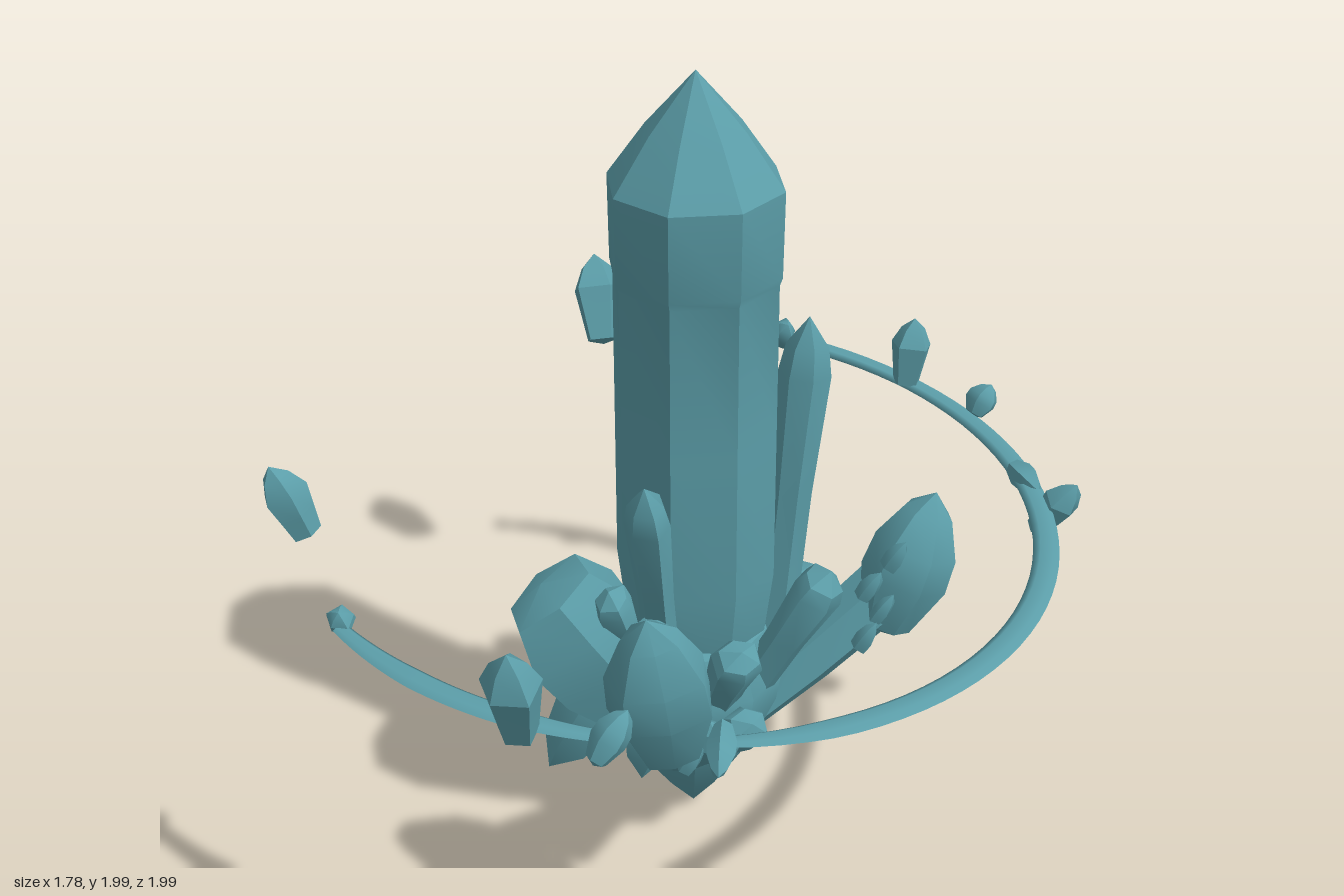
import * as THREE from 'three';
import { toCreasedNormals } from 'three/addons/utils/BufferGeometryUtils.js';

const UP = new THREE.Vector3(0, 1, 0);

// Profiles as [radius, height] fractions, from the base to the tip
const COLUMN = [[0, 0], [0.75, 0.04], [0.8, 0.5], [1, 0.84], [0.8, 0.92], [0, 1]];
const HEAD = [[0, 0], [0.6, 0.08], [1, 0.42], [0.95, 0.64], [0.55, 0.87], [0, 1]];
const SHARD = [[0, 0], [0.65, 0.05], [0.8, 0.3], [1, 0.62], [0.6, 0.85], [0, 1]];
const STEM = [[0, 0], [0.7, 0.03], [1, 0.5], [1.1, 0.97], [0, 1]];
const SPIKE = [[0, 0], [0.9, 0.05], [1, 0.4], [0.7, 0.75], [0, 1]];
const BLUNT = [[0, 0], [0.35, 0.03], [0.95, 0.55], [1, 0.76], [0.72, 0.95], [0, 1]];

// Faceted solid of revolution with slightly uneven sides
function facets(profile, sides, radius, height, seed, uneven = 0.1) {
  const points = profile.map(([r, h]) => new THREE.Vector2(r * radius, h * height));
  const geometry = new THREE.LatheGeometry(points, sides);
  const p = geometry.attributes.position;
  for (let i = 0; i < p.count; i++) {
    const a = Math.atan2(p.getX(i), p.getZ(i));
    const k = 1 + uneven * Math.sin(2 * a + seed) + uneven * 0.5 * Math.sin(3 * a + seed * 2.3);
    p.setX(i, p.getX(i) * k);
    p.setZ(i, p.getZ(i) * k);
  }
  return toCreasedNormals(geometry, 0.5);
}

export function createModel() {
  const group = new THREE.Group();
  const teal = new THREE.MeshStandardMaterial({ color: 0x5b9da8 });
  teal.name = 'teal crystal';
  let seed = 0;

  function add(name, geometry) {
    const mesh = new THREE.Mesh(geometry, teal);
    mesh.name = name;
    group.add(mesh);
    return mesh;
  }

  // Crystal running from a base point to a tip point
  function crystal(name, base, tip, radius, profile = COLUMN, sides = 6) {
    const from = new THREE.Vector3(...base);
    const axis = new THREE.Vector3(...tip).sub(from);
    seed += 1.7;
    const mesh = add(name, facets(profile, sides, radius, axis.length(), seed));
    mesh.position.copy(from);
    mesh.quaternion.setFromUnitVectors(UP, axis.normalize());
  }

  // Main pillar: shaft, slightly thicker crown, pointed cap; flats face the axes
  const pillar = [[0.1, 0.3], [0.175, 0.5], [0.203, 0.72], [0.203, 1.1], [0.203, 1.49], [0.21, 1.51], [0.213, 1.72], [0.12, 1.85], [0, 1.985]];
  const shaft = add('mainPillar', facets(pillar, 8, 1, 1, 0.6, 0.015));
  shaft.position.set(0.013, 0, -0.013);
  shaft.rotation.y = Math.PI / 8;

  // Pointed root that all crystals grow from
  const root = [[0, 0], [0.085, 0.1], [0.165, 0.22], [0.22, 0.34], [0.235, 0.43], [0.19, 0.55], [0, 0.62]];
  add('root', facets(root, 9, 1, 1, 2, 0.07)).position.set(0.02, 0, 0);

  // Two long-stemmed crystals on the +x side
  crystal('frontStem', [0.05, 0.19, 0.06], [0.3, 0.65, 0.47], 0.075, STEM);
  crystal('frontStemHead', [0.29, 0.49, 0.42], [0.31, 0.94, 0.53], 0.118, HEAD, 7);
  crystal('backStem', [0.05, 0.19, -0.05], [0.36, 0.62, -0.42], 0.075, STEM);
  crystal('backStemHead', [0.34, 0.47, -0.36], [0.41, 0.85, -0.48], 0.122, HEAD, 7);

  // Two broad blunt crystals on the -x side
  crystal('frontBluntCrystal', [0, 0.2, 0.03], [-0.235, 0.7, 0.28], 0.165, BLUNT, 6);
  crystal('backBluntCrystal', [0, 0.16, -0.03], [-0.15, 0.58, -0.34], 0.155, BLUNT, 7);
  crystal('sideLump', [-0.05, 0.3, 0.05], [-0.33, 0.51, 0.13], 0.09, BLUNT);

  // Downward spikes
  crystal('downSpike', [-0.09, 0.47, 0.15], [-0.23, 0.15, 0.28], 0.09, SPIKE, 5);
  crystal('frontDownSpike', [0.02, 0.45, 0.15], [0.03, 0.2, 0.22], 0.08, SPIKE, 5);

  // Slender crystals hugging the pillar
  [
    [[0.16, 0.45, -0.14], [0.2, 1.37, -0.21], 0.06],
    [[0.05, 0.42, 0.14], [0.115, 1.1, 0.3], 0.06],
    [[-0.02, 0.5, -0.15], [-0.03, 1.04, -0.31], 0.06],
    [[0.05, 0.45, -0.16], [0.07, 0.86, -0.35], 0.045],
    [[-0.12, 0.4, -0.1], [-0.22, 0.76, -0.2], 0.05],
    [[0.14, 0.35, -0.04], [0.35, 0.77, -0.12], 0.07],
    [[0.12, 0.35, 0.06], [0.28, 0.64, 0.14], 0.065],
    [[0.06, 0.4, 0.15], [0.11, 0.72, 0.28], 0.06],
    [[0.12, 0.4, -0.12], [0.21, 0.68, -0.24], 0.06],
    [[-0.06, 0.4, 0.1], [-0.06, 0.72, 0.23], 0.055],
    [[0.08, 0.2, 0.02], [0.3, 0.43, 0.12], 0.06],
    [[0.1, 0.25, 0.12], [0.38, 0.56, 0.36], 0.055],
  ].forEach(([base, tip, r], i) => crystal('slenderCrystal' + i, base, tip, r));

  // Loose chips beside the back stem and under the front head
  [[0.4, 0.56, -0.2], [0.42, 0.63, -0.24], [0.4, 0.7, -0.21], [0.43, 0.77, -0.27],
    [0.44, 0.58, 0.4], [0.2, 0.53, 0.34], [0.33, 0.5, 0.4]].forEach(([x, y, z], i) =>
    crystal('chip' + i, [x - 0.02, y - 0.04, z], [x + 0.02, y + 0.04, z - 0.02], 0.025, SPIKE, 5));

  // Tilted broken ring: flattened arcs with tapered ends, angles in degrees
  const ring = new THREE.Group();
  ring.name = 'brokenRing';
  const R = 0.93;
  for (const [start, end] of [[-125, 43], [57, 102]]) {
    const arc = THREE.MathUtils.degToRad(end - start);
    const geometry = new THREE.TorusGeometry(R, 0.032, 6, 48, arc);
    const p = geometry.attributes.position;
    for (let i = 0; i < p.count; i++) {
      const a = Math.max(0, Math.atan2(p.getY(i), p.getX(i)));
      const k = Math.min(1, 0.6 + Math.min(a, arc - a) * 1.5);
      const r = R + (Math.hypot(p.getX(i), p.getY(i)) - R) * k;
      p.setXYZ(i, Math.cos(a) * r, Math.sin(a) * r, p.getZ(i) * k * 0.4);
    }
    geometry.rotateZ(THREE.MathUtils.degToRad(start)).rotateX(Math.PI / 2);
    geometry.computeVertexNormals();
    const mesh = new THREE.Mesh(geometry, teal);
    mesh.name = 'ringArc';
    ring.add(mesh);
  }
  ring.position.set(-0.065, 0.865, 0);
  ring.rotation.z = -0.08;
  group.add(ring);

  // Shards caught on the ring
  [
    [[0.27, 0.82, 0.9], [0.29, 1.06, 0.95], 0.07],
    [[0.02, 0.85, -0.92], [0.02, 1.04, -0.95], 0.06],
    [[0.59, 0.72, -0.67], [0.68, 0.87, -0.7], 0.05],
    [[0.25, 0.84, -0.9], [0.27, 0.92, -0.95], 0.04],
    [[-0.38, 0.88, -0.87], [-0.32, 0.96, -0.84], 0.04],
    [[0.58, 0.83, 0.6], [0.67, 0.8, 0.73], 0.035],
    [[0.44, 0.8, 0.86], [0.47, 0.91, 0.78], 0.04],
    [[-0.28, 0.86, 0.88], [-0.26, 0.92, 0.91], 0.035],
    [[0.46, 0.83, -0.75], [0.58, 0.82, -0.69], 0.035],
  ].forEach(([base, tip, r], i) => crystal('ringShard' + i, base, tip, r, i < 3 ? SHARD : HEAD, 5));

  // Floating shards in the gap
  crystal('floatingShardBack', [-0.76, 0.87, -0.57], [-0.86, 1.09, -0.65], 0.075, SHARD, 5);
  crystal('floatingShardFront', [-0.61, 0.88, 0.68], [-0.67, 1.07, 0.73], 0.055, SHARD, 5);

  return group;
}
